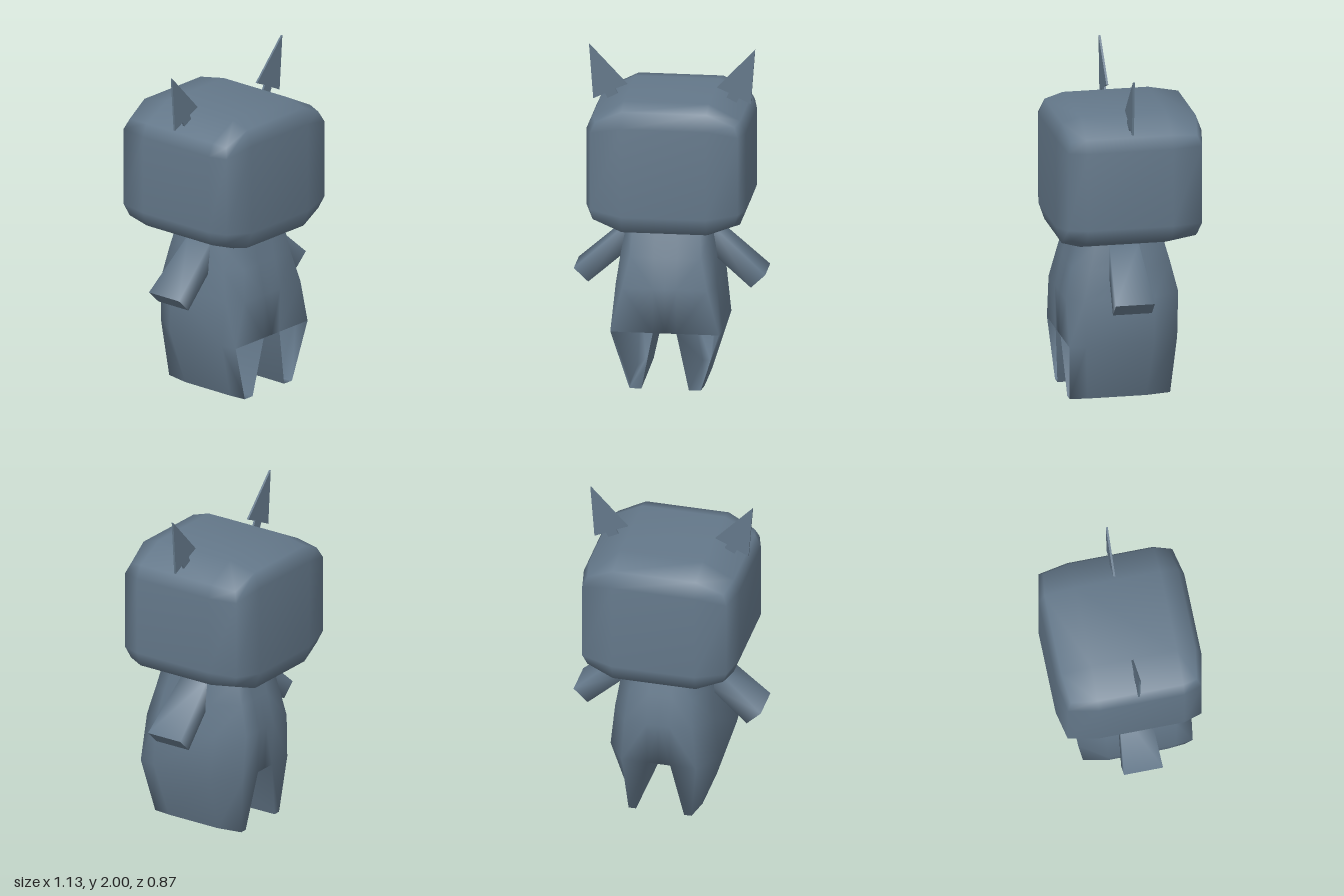
import * as THREE from 'three';
import { mergeGeometries, mergeVertices } from 'three/addons/utils/BufferGeometryUtils.js';

const material = new THREE.MeshStandardMaterial({ color: 0x64788a, side: THREE.DoubleSide });

// Surface through cross-sections; optionally closed around and capped on the first one
function loft(rings, closed = false, cap = false) {
  const n = rings[0].length, pos = rings.flat(2), index = [];
  for (let i = 0; i < rings.length - 1; i++) {
    for (let j = 0; j < (closed ? n : n - 1); j++) {
      const k = (j + 1) % n;
      const a = i * n + j, b = i * n + k, c = b + n, d = a + n;
      index.push(a, b, c, a, c, d);
    }
  }
  if (cap) {
    const base = pos.length / 3;
    pos.push(...rings[0].flat());
    for (let j = 1; j < n - 1; j++) index.push(base, base + j + 1, base + j);
  }
  const g = new THREE.BufferGeometry();
  g.setAttribute('position', new THREE.Float32BufferAttribute(pos, 3));
  g.setIndex(index);
  return g;
}

// Copy reflected in x, with its winding restored
function mirrored(g) {
  const m = g.clone().scale(-1, 1, 1);
  const idx = Array.from(m.index.array);
  for (let i = 0; i < idx.length; i += 3) [idx[i], idx[i + 1]] = [idx[i + 1], idx[i]];
  m.setIndex(idx);
  return m;
}

function smooth(g) {
  g.deleteAttribute('uv');
  g.deleteAttribute('normal');
  const m = mergeVertices(g, 1e-4);
  m.computeVertexNormals();
  return m;
}

// Head: a 3x3x3 box whose edges and corners are drawn in
function headGeometry() {
  const g = new THREE.BoxGeometry(3, 3, 3, 3, 3, 3);
  const p = g.attributes.position;
  for (let i = 0; i < p.count; i++) {
    const x = p.getX(i), y = p.getY(i), z = p.getZ(i);
    const ex = Math.abs(x) > 1, ey = Math.abs(y) > 1, ez = Math.abs(z) > 1;
    const edge = ex + ey + ez;
    const hx = ex ? [0, 0.47, 0.435, 0.41][edge] : 0.25;
    const hz = ez ? [0, 0.435, 0.4, 0.375][edge] : (z > 0 ? 0.29 : 0.22);
    let ny;
    if (!ey) ny = ex ? (y > 0 ? 1.57 : 1.1) : (y > 0 ? 1.61 : 1.07);
    else if (edge === 1) ny = y > 0 ? 1.74 : 0.94;
    else if (edge === 3) ny = y > 0 ? 1.63 : 1.03;
    else if (ex) ny = y > 0 ? 1.645 : 1.01;
    else ny = y > 0 ? 1.705 : 0.97;
    p.setXYZ(i, Math.sign(x) * hx, ny, Math.sign(z) * hz);
  }
  return smooth(g);
}

// Half outline of the torso at one height, from front centre to back centre
const torsoRing = (y, X, fx, zf, zb) => [
  [0, y, zf], [0.07, y, zf], [fx, y, zf], [X, y, zf - 0.1],
  [X, y, zb + 0.16], [X * 0.68, y, zb], [0.07, y, zb], [0, y, zb],
];

// Torso and legs in one skin; the leg fronts are open
function bodyGeometry() {
  const hip = torsoRing(0.35, 0.33, 0.32, 0.37, -0.295);
  const torso = loft([
    hip,
    torsoRing(0.62, 0.3, 0.25, 0.375, -0.305),
    torsoRing(0.8, 0.275, 0.21, 0.335, -0.26),
    torsoRing(0.945, 0.25, 0.2, 0.295, -0.22),
  ]);
  const foot = [
    [0.21, 0, 0.345], [0.22, 0, 0.24], [0.22, 0, -0.11],
    [0.19, 0, -0.26], [0.145, 0, -0.26], [0.14, 0, 0.345],
  ];
  const leg = loft([foot, [...hip.slice(2, 7), hip[1]]], false, true);
  const crotch = loft([[hip[0], hip[7]], [hip[1], hip[6]]]);
  const half = mergeGeometries([torso, leg, crotch]);
  return smooth(mergeGeometries([half, mirrored(half)]));
}

// Arm: a flat bar from hand up to shoulder
function armGeometry() {
  const ring = ([lx, ly], [ux, uy], zf, zb) =>
    [[lx, ly, zf], [ux, uy, zf], [ux, uy, zb], [lx, ly, zb]];
  const g = loft([
    ring([0.48, 0.58], [0.565, 0.66], 0.143, -0.09),
    ring([0.21, 0.81], [0.25, 0.94], 0.115, -0.06),
  ], true, true);
  g.computeVertexNormals();
  return g;
}

// Ear: a thin arrowhead on a short stem
function earGeometry() {
  const shape = new THREE.Shape([
    [0.49, 2], [0.265, 1.762], [0.335, 1.732], [0.31, 1.68],
    [0.37, 1.65], [0.395, 1.702], [0.465, 1.668],
  ].map(([x, y]) => new THREE.Vector2(x, y)));
  const g = new THREE.ExtrudeGeometry(shape, { depth: 0.012, bevelEnabled: false });
  g.translate(0, 0, 0.014);
  return mergeVertices(g);
}

export function createModel() {
  const model = new THREE.Group();
  const add = (name, geometry) => {
    const mesh = new THREE.Mesh(geometry, material);
    mesh.name = name;
    model.add(mesh);
  };
  add('head', headGeometry());
  add('bodyAndLegs', bodyGeometry());
  for (const [part, geometry] of [['Arm', armGeometry()], ['Ear', earGeometry()]]) {
    const other = mirrored(geometry);
    other.computeVertexNormals();
    add('left' + part, geometry);
    add('right' + part, other);
  }
  return model;
}
